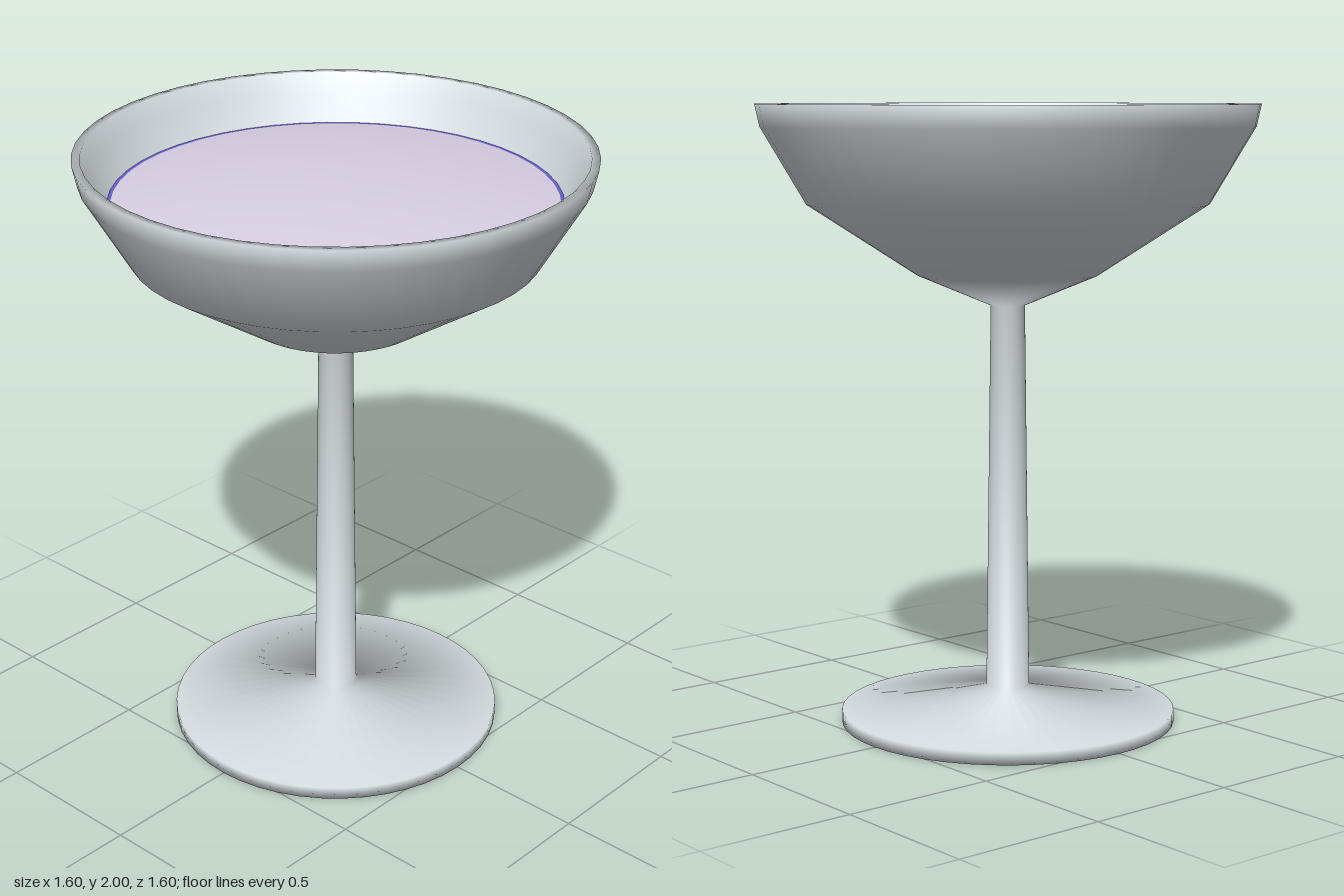
import * as THREE from 'three';

const SEGMENTS = 48;

// Revolve a list of [radius, height] points around the y axis
function revolve(name, points, material) {
  const profile = points.map(([r, y]) => new THREE.Vector2(r, y));
  const mesh = new THREE.Mesh(new THREE.LatheGeometry(profile, SEGMENTS), material);
  mesh.name = name;
  return mesh;
}

export function createModel() {
  const glass = new THREE.MeshStandardMaterial({ color: 0xd5dce0 });
  glass.name = 'pale grey glass';
  const wine = new THREE.MeshStandardMaterial({ color: 0xd8cfe3 });
  wine.name = 'lilac drink';
  const edge = new THREE.MeshStandardMaterial({ color: 0x655ed0 });
  edge.name = 'blue violet edge';

  const group = new THREE.Group();
  group.name = 'coupeGlass';

  // Foot, stem and bowl as one smooth closed profile
  group.add(revolve('glass', [
    [0, 0], [0.543, 0], [0.543, 0.04],             // foot
    [0.07, 0.115], [0.055, 1.36],                  // stem
    [0.29, 1.458], [0.642, 1.686], [0.785, 1.93], [0.8, 2], // outer bowl
    [0.773, 2], [0.757, 1.94], [0.608, 1.70], [0.27, 1.495], [0, 1.42], // inner bowl
  ], glass));

  // Gently domed surface of the drink
  const dome = [];
  for (let i = 0; i <= 8; i++) {
    const t = 1 - i / 8;
    dome.push([0.688 * t, 1.85 + 0.06 * (1 - t * t)]);
  }
  group.add(revolve('drink', dome, wine));

  // Thin flat line where the drink meets the wall
  group.add(revolve('drinkEdge', [[0.699, 1.85], [0.684, 1.85]], edge));

  return group;
}
